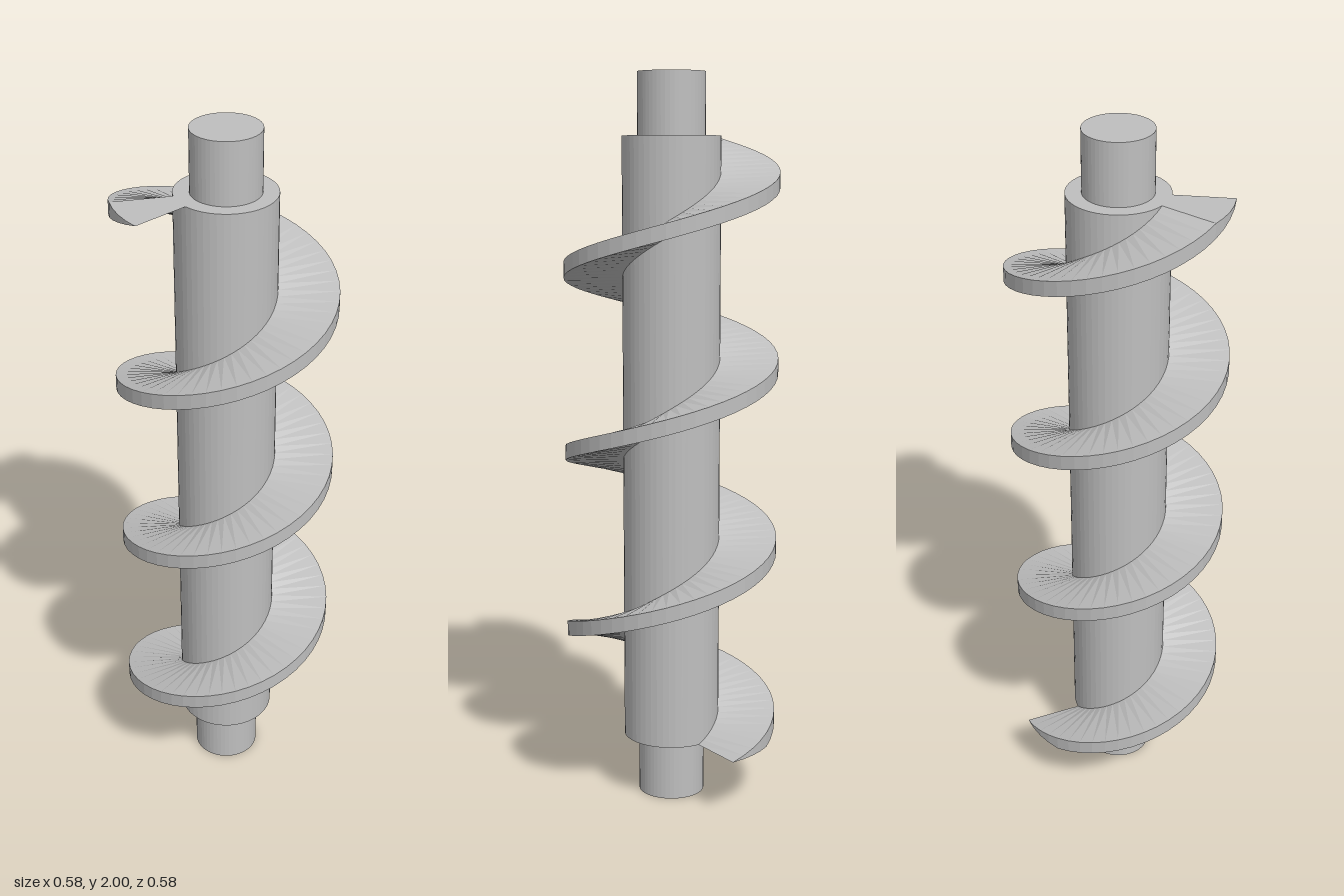
import * as THREE from 'three';

const SIDES = 48;
const PITCH = 0.5, THICK = PITCH / 12;
const Y0 = 1 / 6, Y1 = 11 / 6; // ends of the core; the flight is cut flat here
const R_SHAFT = 0.0915, R_CORE = 0.133, R_FLIGHT = 0.2915;

// Helical flight: a rectangular section swept round the core, cut flat at both ends
function flightGeometry() {
  const step = (2 * Math.PI) / SIDES;
  const start = THREE.MathUtils.degToRad(-165); // angle from +z towards +x
  const count = Math.round(((Y1 - Y0 + THICK) / PITCH) * SIDES);
  const positions = [], index = [];
  for (let i = 0; i <= count; i++) {
    const a = start + i * step;
    const rise = Y0 + (i / SIDES) * PITCH;
    const top = Math.min(rise, Y1);
    const bottom = Math.max(rise - THICK, Y0);
    const section = [[R_CORE - 0.003, top], [R_FLIGHT, top], [R_FLIGHT, bottom], [R_CORE - 0.003, bottom]];
    for (const [r, y] of section) positions.push(r * Math.sin(a), y, r * Math.cos(a));
    if (i === count) break;
    for (let k = 0; k < 4; k++) {
      const p = i * 4 + k, q = i * 4 + ((k + 1) % 4);
      index.push(p, q, q + 4, p, q + 4, p + 4);
    }
  }
  const geometry = new THREE.BufferGeometry();
  geometry.setAttribute('position', new THREE.Float32BufferAttribute(positions, 3));
  geometry.setIndex(index);
  geometry.computeVertexNormals();
  return geometry;
}

export function createModel() {
  const model = new THREE.Group();
  model.name = 'screwConveyor';
  const steel = new THREE.MeshStandardMaterial({ color: 0xbfbfbf, flatShading: true });
  steel.name = 'grey steel';

  const add = (name, geometry, y = 0) => {
    const mesh = new THREE.Mesh(geometry, steel);
    mesh.name = name;
    mesh.position.y = y;
    model.add(mesh);
  };
  const rod = (r, h) => new THREE.CylinderGeometry(r, r, h, SIDES);

  // Core with a thinner journal at each end
  add('core', rod(R_CORE, Y1 - Y0), 1);
  add('lowerJournal', rod(R_SHAFT, Y0), Y0 / 2);
  add('upperJournal', rod(R_SHAFT, 2 - Y1), (2 + Y1) / 2);

  add('helicalFlight', flightGeometry());
  return model;
}
